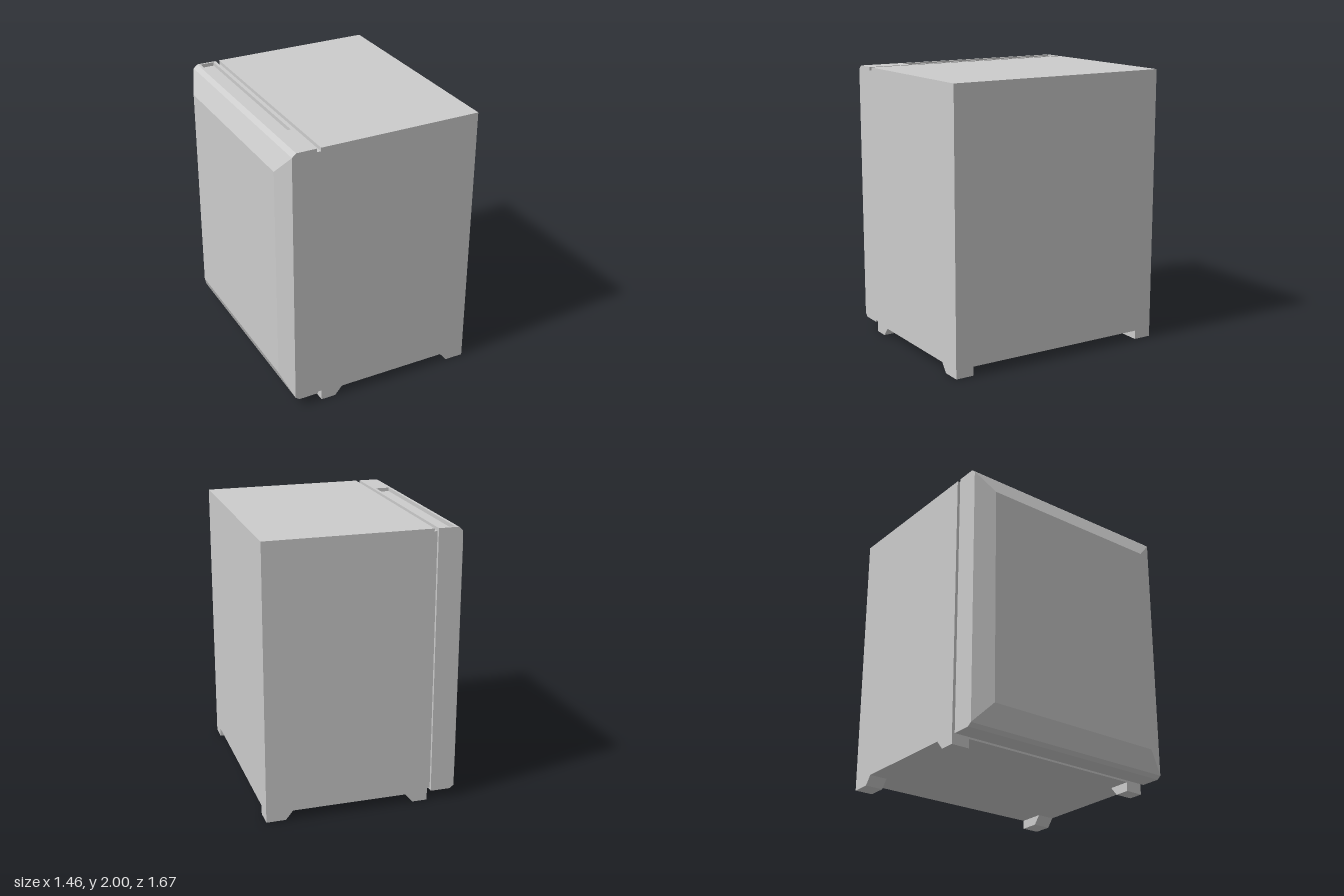
import * as THREE from 'three';

const material = new THREE.MeshStandardMaterial({ color: 0xcccccc, flatShading: true });
const D = 0.835; // half depth
const BASE = 0.065; // underside height

function add(parent, name, geometry) {
  const mesh = new THREE.Mesh(geometry, material);
  mesh.name = name;
  parent.add(mesh);
  return mesh;
}

// Box given by its two opposite corners
function box([x0, y0, z0], [x1, y1, z1]) {
  return new THREE.BoxGeometry(x1 - x0, y1 - y0, z1 - z0)
    .translate((x0 + x1) / 2, (y0 + y1) / 2, (z0 + z1) / 2);
}

// XY profile extruded along z
function prism(points, z0, z1) {
  const shape = new THREE.Shape(points.map(([x, y]) => new THREE.Vector2(x, y)));
  return new THREE.ExtrudeGeometry(shape, { depth: z1 - z0, bevelEnabled: false }).translate(0, 0, z0);
}

// Move every vertex by a rule, then give flat normals
function reshape(geometry, rule) {
  const g = geometry.index ? geometry.toNonIndexed() : geometry;
  const p = g.attributes.position;
  const v = new THREE.Vector3();
  for (let i = 0; i < p.count; i++) {
    rule(v.fromBufferAttribute(p, i));
    p.setXYZ(i, v.x, v.y, v.z);
  }
  g.computeVertexNormals();
  return g;
}

export function createModel() {
  const model = new THREE.Group();
  model.name = 'miniFridge';

  // Cabinet, and the recessed seal that leaves a groove on top, bottom and back
  add(model, 'cabinet', box([-0.46, BASE, -D], [0.727, 2, D]));
  add(model, 'doorSeal', box([-0.49, 0.08, -0.812], [-0.46, 1.975, D]));

  // Four feet with sloped inner sides
  const feet = new THREE.Group();
  feet.name = 'feet';
  model.add(feet);
  const doorFoot = [[-0.46, 0], [-0.35, 0], [-0.295, BASE], [-0.46, BASE]];
  const rearFoot = [[0.587, 0], [0.727, 0], [0.727, BASE], [0.535, BASE]];
  for (const [z0, z1] of [[-D, -0.7], [0.7, D]]) {
    add(feet, 'doorSideFoot', prism(doorFoot, z0, z1));
    add(feet, 'rearSideFoot', prism(rearFoot, z0, z1));
  }

  const door = new THREE.Group();
  door.name = 'door';
  model.add(door);

  // Door slab, chamfered along its lower outer edge
  add(door, 'doorSlab', prism(
    [[-0.49, BASE], [-0.49, 1.973], [-0.665, 1.973], [-0.665, 0.087], [-0.635, BASE]], -D, D));

  // Door top with the long handle slot and a chamfered outer edge
  const cap = new THREE.Shape([[-0.665, -D], [-0.49, -D], [-0.49, D], [-0.665, D]]
    .map(([x, y]) => new THREE.Vector2(x, y)));
  cap.holes.push(new THREE.Path([[-0.615, -0.502], [-0.615, 0.82], [-0.512, 0.82], [-0.512, -0.502]]
    .map(([x, y]) => new THREE.Vector2(x, y))));
  const capGeometry = new THREE.ExtrudeGeometry(cap, { depth: 0.027, bevelEnabled: false })
    .rotateX(-Math.PI / 2).translate(0, 1.973, 0);
  add(door, 'doorTopWithHandleSlot', reshape(capGeometry, (v) => {
    if (v.x < -0.66 && v.y > 1.99) v.x = -0.635;
  }));

  // Door front tapering to a smaller flat panel
  add(door, 'bevelledDoorPanel', reshape(box([-0.729, 0.087, -D], [-0.665, 1.973, D]), (v) => {
    if (v.x < -0.7) {
      v.y = v.y > 1 ? 1.828 : 0.235;
      v.z = Math.sign(v.z) * 0.695;
    }
  }));

  return model;
}
